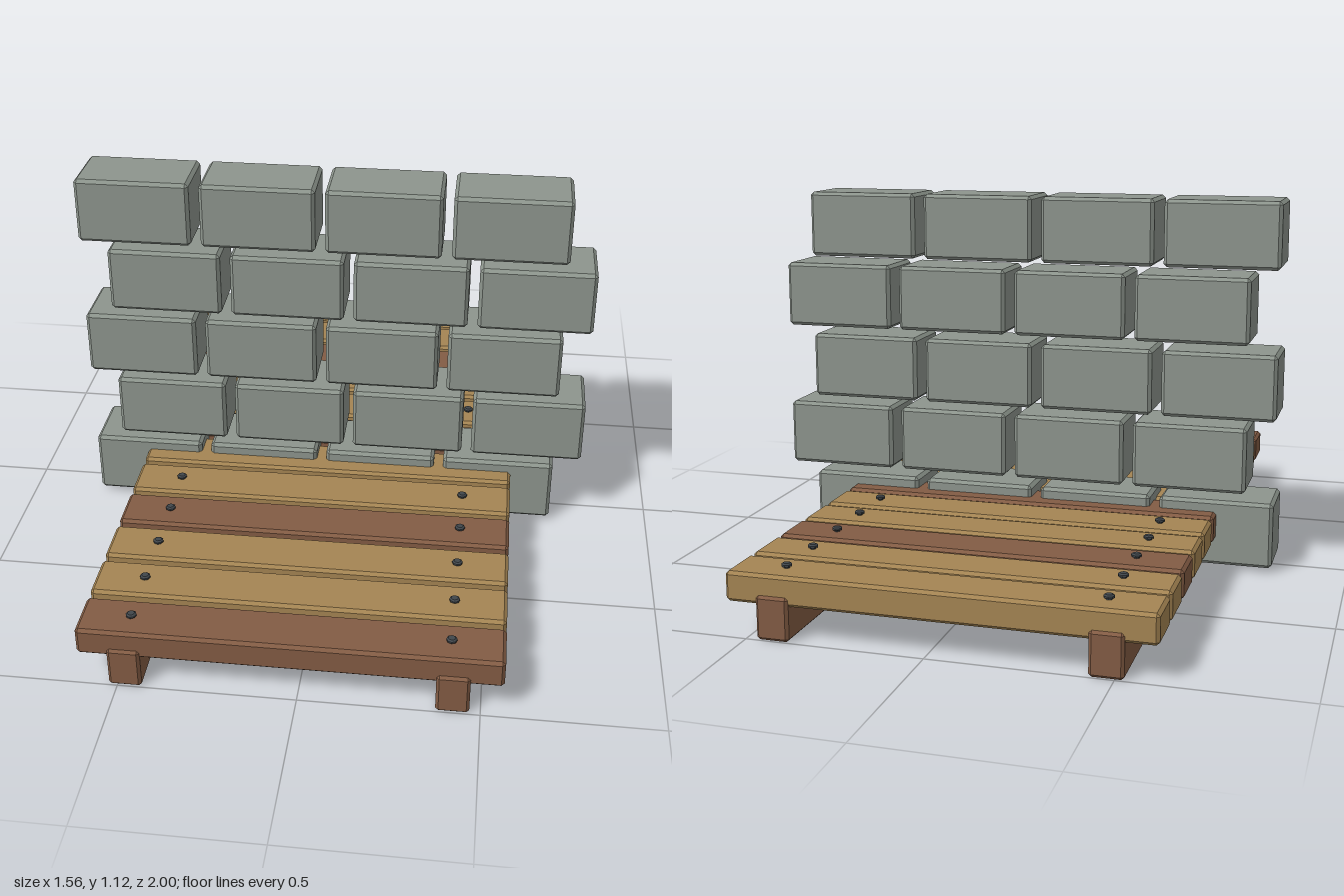
import * as THREE from 'three';
import { ConvexGeometry } from 'three/addons/geometries/ConvexGeometry.js';

// Box with chamfered edges and corners
function chamferBox(w, h, d, c) {
  const half = [w / 2, h / 2, d / 2];
  const points = [];
  for (const sx of [-1, 1]) for (const sy of [-1, 1]) for (const sz of [-1, 1]) {
    for (let axis = 0; axis < 3; axis++) {
      const p = half.map((s, i) => (i === axis ? s : s - c));
      points.push(new THREE.Vector3(p[0] * sx, p[1] * sy, p[2] * sz));
    }
  }
  return new ConvexGeometry(points);
}

function material(name, color) {
  const m = new THREE.MeshStandardMaterial({ color });
  m.name = name;
  return m;
}

export function createModel() {
  const model = new THREE.Group();
  model.name = 'wallAndWalkway';
  const stone = material('greyStone', 0x8d958d);
  const tan = material('tanWood', 0xa58553);
  const brown = material('brownWood', 0x835c44);
  const iron = material('darkIron', 0x40464b);

  const add = (parent, name, geometry, mat, x, y, z) => {
    const mesh = new THREE.Mesh(geometry, mat);
    mesh.name = name;
    mesh.position.set(x, y, z);
    parent.add(mesh);
  };
  const group = (name) => {
    const g = new THREE.Group();
    g.name = name;
    model.add(g);
    return g;
  };

  // Wall of staggered blocks
  const wall = group('wall');
  const block = chamferBox(0.345, 0.2, 0.2, 0.01);
  for (let row = 0; row < 5; row++) {
    const start = row % 2 ? -0.522 : -0.607;
    for (let i = 0; i < 4; i++) {
      add(wall, 'stoneBlock', block, stone, start + i * 0.375, 0.115 + row * 0.225, 0);
    }
  }

  // Two long bearers under the planks
  const walkway = group('walkway');
  const beam = chamferBox(0.092, 0.123, 2, 0.008);
  for (const x of [-0.478, 0.424]) add(walkway, 'beam', beam, brown, x, 0.0615, 0);

  // Cross planks, every third one brown, with a nail at each bearer
  const plank = chamferBox(1.17, 0.084, 0.145, 0.009);
  const nail = new THREE.LatheGeometry([
    new THREE.Vector2(0.009, -0.012),
    new THREE.Vector2(0.009, 0.003),
    new THREE.Vector2(0.015, 0.005),
    new THREE.Vector2(0.015, 0.010),
    new THREE.Vector2(0.010, 0.014),
    new THREE.Vector2(0, 0.014),
  ], 8).toNonIndexed();
  nail.computeVertexNormals();
  for (let i = 0; i < 12; i++) {
    const z = 0.92 - i * (1.84 / 11);
    add(walkway, 'plank', plank, i % 3 === 0 ? brown : tan, -0.025, 0.138, z);
    for (const x of [-0.467, 0.413]) add(walkway, 'nail', nail, iron, x, 0.18, z);
  }

  return model;
}
